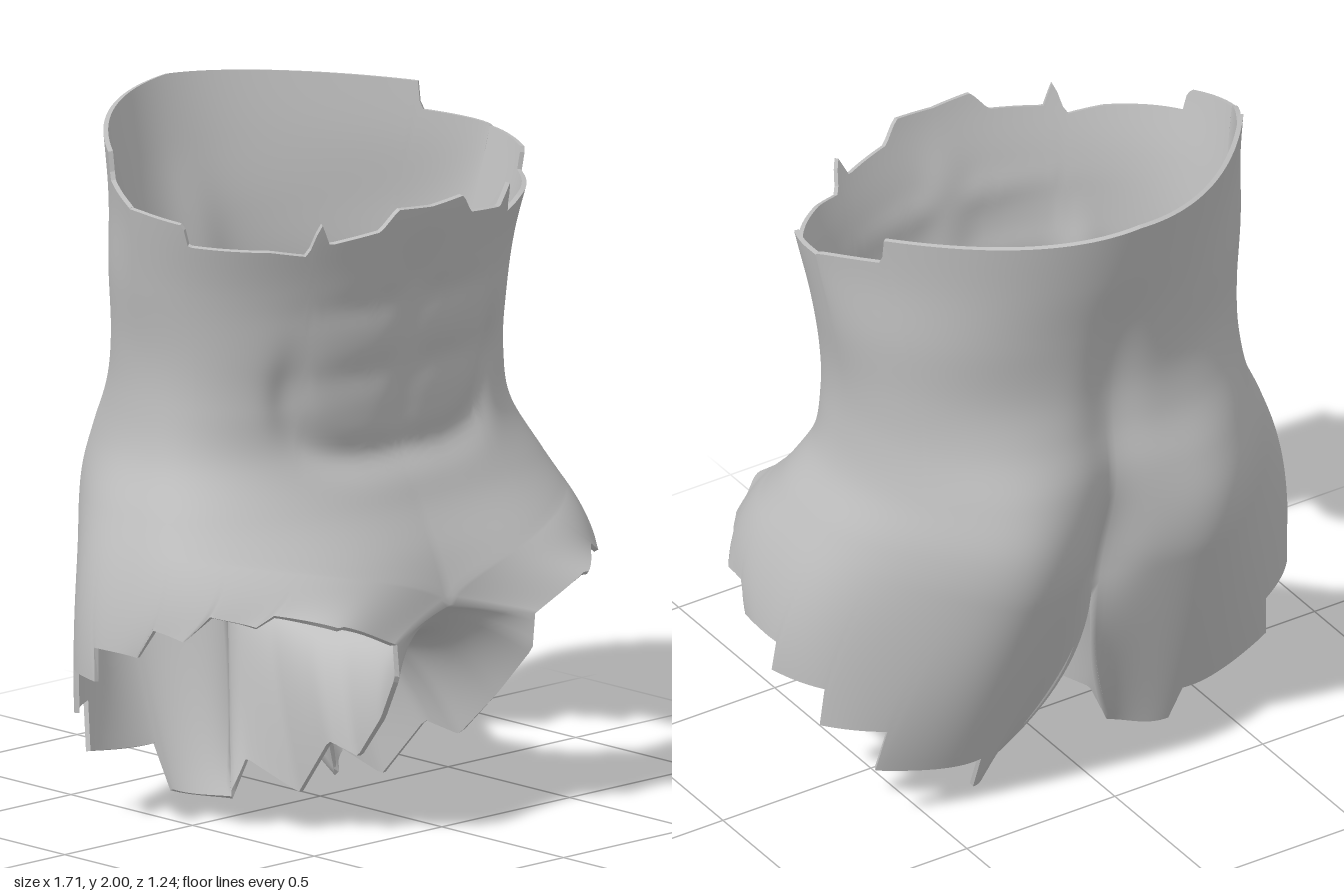
import * as THREE from 'three';
import { mergeVertices } from 'three/addons/utils/BufferGeometryUtils.js';

const V = (x, y, z) => new THREE.Vector3(x, y, z);
const gauss = (d, s) => Math.exp(-((d / s) ** 2));
const lerp = THREE.MathUtils.lerp;
const THICKNESS = 0.014;

// torso levels: y, half width, z of widest point, front z, front power, back z, back power, thigh bulge, buttock bulge
const LEVELS = [
  [0.65, 0.835, 0.05, 0.51, 0.6, -0.37, 0.75, 0.12, 0.16],
  [0.8, 0.795, 0.03, 0.465, 0.65, -0.42, 0.75, 0.055, 0.17],
  [0.95, 0.73, 0, 0.395, 0.75, -0.445, 0.8, 0.015, 0.165],
  [1.1, 0.66, -0.03, 0.35, 0.85, -0.475, 0.9, 0, 0.11],
  [1.25, 0.635, -0.05, 0.355, 0.85, -0.485, 0.95, 0, 0.04],
  [1.4, 0.637, -0.06, 0.375, 0.85, -0.5, 1, 0, 0],
  [1.6, 0.67, -0.06, 0.405, 0.9, -0.53, 1.25, 0, 0],
  [1.8, 0.705, -0.04, 0.46, 0.9, -0.585, 1.65, 0, 0],
  [2.0, 0.74, -0.03, 0.5, 0.9, -0.64, 1.9, 0, 0],
];

// smooth value of one column of the level table at height y
function level(y, c) {
  const last = LEVELS.length - 1;
  let i = 0;
  while (i < last - 1 && y > LEVELS[i + 1][0]) i++;
  const slope = (k) => {
    const a = LEVELS[Math.max(0, k - 1)], b = LEVELS[Math.min(last, k + 1)];
    return (b[c] - a[c]) / (b[0] - a[0]);
  };
  const [a, b] = [LEVELS[i], LEVELS[i + 1]], h = b[0] - a[0], t = (y - a[0]) / h;
  const t2 = t * t, t3 = t2 * t;
  return a[c] * (2 * t3 - 3 * t2 + 1) + b[c] * (3 * t2 - 2 * t3)
    + h * (slope(i) * (t3 - 2 * t2 + t) + slope(i + 1) * (t3 - t2));
}

// torso surface: angle 0 is the front centre, PI the back centre
function torso(y, angle) {
  const [w, zc, zf, pf, zb, pb, thigh, buttock] = [1, 2, 3, 4, 5, 6, 7, 8].map((c) => level(y, c));
  const x = w * Math.sin(angle), c = Math.cos(angle), k = Math.abs(c);
  const fade = 1 - (1 - k) ** 4;
  let z;
  if (c >= 0) {
    z = zc + (zf - zc) * k ** pf + thigh * gauss(x - 0.42, 0.35) * fade;
    // stomach muscles: centre line, cross lines and the rounded lower border
    const area = gauss(Math.max(0, y - 1.55), 0.12) * gauss(Math.min(0, y - 1.2), 0.1);
    const inside = gauss(x, 0.3) * area;
    z -= 0.012 * gauss(x, 0.07) * inside;
    z -= 0.012 * (gauss(y - 1.33, 0.05) + gauss(y - 1.53, 0.05)) * inside * (1 - gauss(x, 0.07));
    const q = ((x / 0.39) ** 4 + (Math.min(0, y - 1.45) / 0.37) ** 4) ** 0.25;
    z -= 0.026 * gauss(q - 1, 0.14) * gauss(Math.max(0, y - 1.25), 0.15);
  } else {
    z = zc + (zb - zc) * k ** pb - buttock * gauss(x - 0.33, 0.28) * fade;
    // spine and cleft
    z += 0.03 * gauss(x, 0.09) * gauss(y - 1.35, 0.3) + 0.05 * gauss(x, 0.07) * gauss(y - 0.78, 0.18);
  }
  return V(x, y, z);
}

// jagged upper edge: angle, height
const TOP = [[0, 1.81], [0.18, 1.82], [0.255, 1.76], [0.5, 1.74], [0.55, 1.81], [0.6, 1.71], [0.78, 1.73],
  [1.22, 1.745], [1.25, 1.81], [1.5, 1.83], [2.13, 1.87], [2.16, 1.95], [2.95, 1.99], [3.15, 2]];
function topEdge(angle) {
  let i = 0;
  while (i < TOP.length - 2 && angle > TOP[i + 1][0]) i++;
  const [a, b] = [TOP[i], TOP[i + 1]];
  return lerp(a[1], b[1], (angle - a[0]) / (b[0] - a[0]));
}

// line where the torso passes into the thigh
const hipLine = (a) => 0.66 - 0.02 * a / Math.PI + 0.22 * Math.max(0, Math.sin(a)) ** 0.6;

// smooth limit of the thigh, front to back, and the depth of the notch ending at each point
const outerCut = new THREE.CatmullRomCurve3([[0.27, 0.6, 0.6], [0.49, 0.685, 0.59], [0.67, 0.69, 0.44],
  [0.8, 0.64, 0.28], [0.84, 0.575, 0.13], [0.855, 0.48, -0.03], [0.79, 0.35, -0.18], [0.66, 0.2, -0.27],
  [0.33, 0.03, -0.27], [0.2, 0.005, -0.15]].map((p) => V(...p)));
const NOTCHES = [0.01, 0.05, 0.09, 0.09, 0.1, 0.13, 0.15, 0.14, 0];

// jagged inner edge, back to front
const innerCut = new THREE.CurvePath();
[[0.2, 0.005, -0.15], [0.155, 0.12, -0.13], [0.155, 0.06, 0.09], [0.18, 0.24, 0.24], [0.19, 0.22, 0.37],
  [0.22, 0.36, 0.5], [0.26, 0.5, 0.6], [0.27, 0.6, 0.6]].map((p) => V(...p)).forEach((p, i, all) => {
  if (i > 0) innerCut.add(new THREE.LineCurve3(all[i - 1], p));
});

// centre line under the body, back to front
const crotch = new THREE.CatmullRomCurve3([torso(hipLine(Math.PI), Math.PI), V(0, 0.565, -0.25), V(0, 0.525, -0.08),
  V(0, 0.515, 0.15), V(0, 0.56, 0.4), torso(hipLine(0), 0)]);

// one thigh column: start, control and end point
function outerColumn(t) {
  const a = t * Math.PI, y = hipLine(a), start = torso(y, a), end = outerCut.getPoint(t);
  const slope = torso(y + 0.02, a).sub(start).divideScalar(0.02);
  const control = start.clone().addScaledVector(slope, (end.y - y) * 0.5);
  control.x += 0.5 * (end.x - control.x) * Math.max(0, Math.cos(a));
  return [start, control, end];
}
function innerColumn(t) {
  if (t === 0) return outerColumn(1);
  if (t === 1) return outerColumn(0);
  const start = crotch.getPoint(t), end = innerCut.getPoint(t);
  const seam = outerColumn(1)[1].lerp(outerColumn(0)[1], t);
  const control = V(0.13, start.y, lerp(start.z, end.z, 0.3));
  return [start, seam.lerp(control, Math.sqrt(Math.sin(Math.PI * t))), end];
}
// how far down its column the thigh reaches at t: a row of saw teeth
function toothReach(t, [start, , end]) {
  const s = t * NOTCHES.length, k = Math.floor(s + 1e-6);
  if (k >= NOTCHES.length) return 1;
  return 1 - NOTCHES[k] * Math.max(0, s - k) / start.distanceTo(end);
}

// adds a grid of points and its mirror image to the triangle list
function addGrid(out, cols, rows, columnAt) {
  const grid = [];
  for (let j = 0; j <= cols; j++) grid.push(columnAt(j / cols, rows));
  const tri = (...p) => {
    p.forEach((q) => out.push(q.x, q.y, q.z));
    p.reverse().forEach((q) => out.push(-q.x, q.y, q.z));
  };
  for (let j = 0; j < cols; j++) {
    for (let i = 0; i < rows; i++) {
      tri(grid[j][i], grid[j][i + 1], grid[j + 1][i + 1]);
      tri(grid[j][i], grid[j + 1][i + 1], grid[j + 1][i]);
    }
  }
}
const steps = (n, f) => Array.from({ length: n + 1 }, (_, i) => f(i / n));
const bezier = (points, n, reach = 1) => {
  const curve = new THREE.QuadraticBezierCurve3(...points);
  return steps(n, (v) => curve.getPoint(v * reach));
};

function geometryFrom(positions) {
  const g = new THREE.BufferGeometry();
  g.setAttribute('position', new THREE.Float32BufferAttribute(positions, 3));
  return g;
}

export function createModel() {
  const group = new THREE.Group();
  group.name = 'torsoShell';
  const skin = new THREE.MeshStandardMaterial({ color: 0xbfbfbf, side: THREE.DoubleSide });
  skin.name = 'plain grey';

  // outer skin: torso, then outer and inner thighs, welded smooth
  const tris = [];
  addGrid(tris, 144, 50, (u, n) => steps(n, (v) => {
    const a = u * Math.PI;
    return torso(lerp(topEdge(a), hipLine(a), v), a);
  }));
  addGrid(tris, 144, 18, (u, n) => {
    const column = outerColumn(u);
    return bezier(column, n, toothReach(u, column));
  });
  addGrid(tris, 50, 18, (u, n) => bezier(innerColumn(u), n));
  const outer = mergeVertices(geometryFrom(tris), 1e-4);
  outer.computeVertexNormals();

  // lining: the same skin pushed inward and turned round
  const pos = outer.attributes.position, nor = outer.attributes.normal, idx = outer.index.array;
  const outerAt = (i) => V().fromBufferAttribute(pos, i);
  const innerAt = (i) => outerAt(i).addScaledVector(V().fromBufferAttribute(nor, i), -THICKNESS);
  const lining = geometryFrom(Array.from({ length: pos.count }, (_, i) => innerAt(i).toArray()).flat());
  lining.setIndex(Array.from(idx).reverse());
  lining.computeVertexNormals();

  // rim: strips that close the open edges
  const edges = new Set(), rim = [];
  const eachEdge = (f) => {
    for (let i = 0; i < idx.length; i++) f(idx[i], idx[i % 3 === 2 ? i - 2 : i + 1]);
  };
  eachEdge((a, b) => edges.add(a + '_' + b));
  eachEdge((a, b) => {
    if (edges.has(b + '_' + a)) return;
    const [p, q, r, s] = [outerAt(b), outerAt(a), innerAt(a), innerAt(b)];
    [p, q, r, p, r, s].forEach((v) => rim.push(v.x, v.y, v.z));
  });
  const rimGeometry = geometryFrom(rim);
  rimGeometry.computeVertexNormals();

  for (const [name, geometry] of [['outerSkin', outer], ['lining', lining], ['tornRim', rimGeometry]]) {
    const mesh = new THREE.Mesh(geometry, skin);
    mesh.name = name;
    group.add(mesh);
  }
  return group;
}
